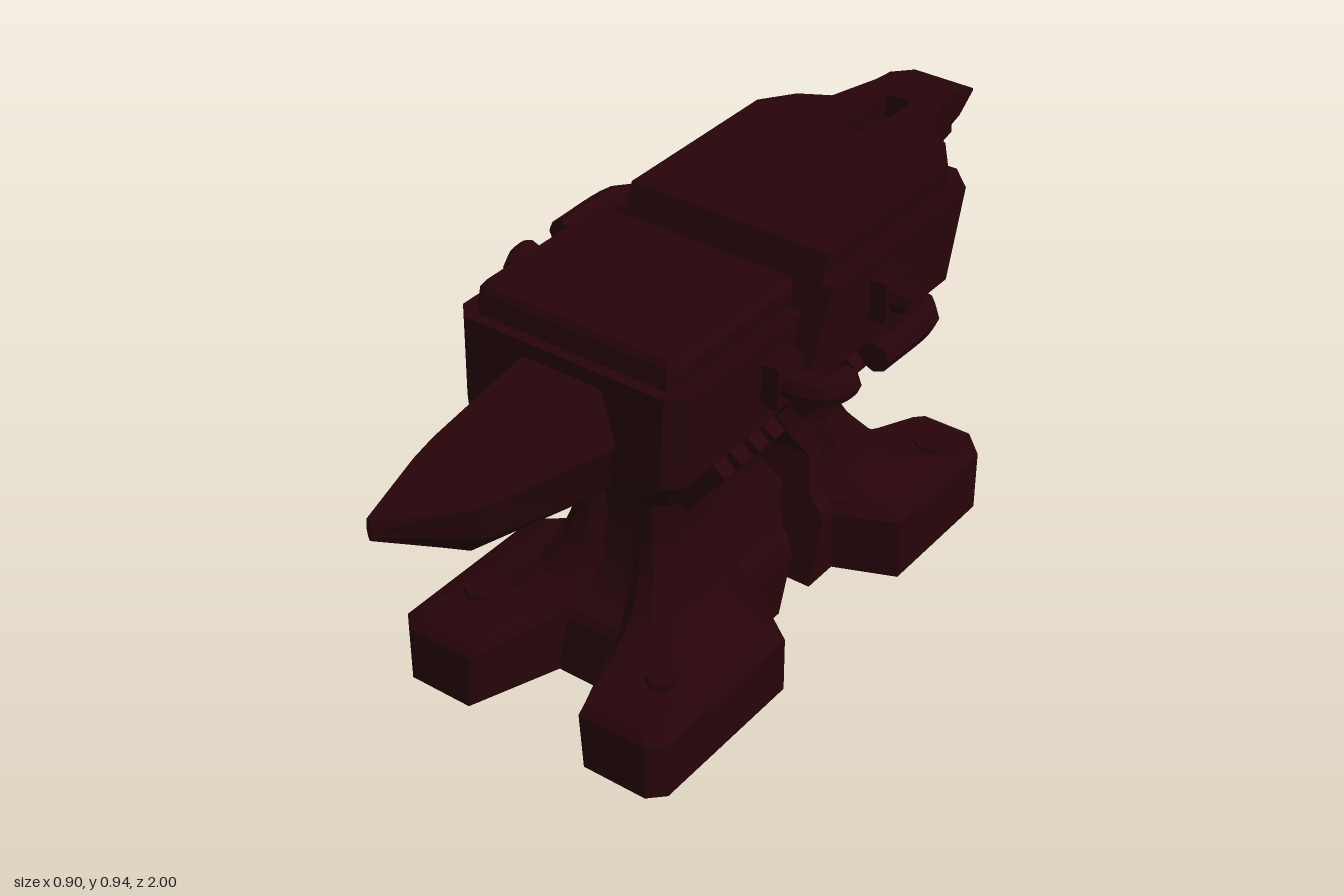
import * as THREE from 'three';

const iron = new THREE.MeshStandardMaterial({ color: 0x260409, flatShading: true });
const ironThin = new THREE.MeshStandardMaterial({ color: 0x260409, flatShading: true, side: THREE.DoubleSide });
const V = (x, y, z) => new THREE.Vector3(x, y, z);

function add(parent, name, geometry, material = iron) {
  const mesh = new THREE.Mesh(geometry, material);
  mesh.name = name;
  parent.add(mesh);
  return mesh;
}

// Faceted skin over rings of equal length, closed with caps
function loft(rings) {
  const axis = rings.at(-1)[0].clone().sub(rings[0][0]);
  const alongZ = Math.abs(axis.z) > Math.abs(axis.y);
  axis.set(0, alongZ ? 0 : Math.sign(axis.y), alongZ ? Math.sign(axis.z) : 0);
  const area = V(0, 0, 0);
  rings[0].forEach((p, i, r) => area.add(p.clone().cross(r[(i + 1) % r.length])));
  if (area.dot(axis) < 0) rings = rings.map((r) => [...r].reverse());
  const pos = [];
  const tri = (...pts) => pts.forEach((p) => pos.push(p.x, p.y, p.z));
  const n = rings[0].length;
  for (let i = 0; i + 1 < rings.length; i++) {
    for (let j = 0; j < n; j++) {
      const k = (j + 1) % n;
      tri(rings[i][j], rings[i][k], rings[i + 1][k]);
      tri(rings[i][j], rings[i + 1][k], rings[i + 1][j]);
    }
  }
  for (const [ring, sign] of [[rings[0], -1], [rings.at(-1), 1]]) {
    const flat = ring.map((p) => new THREE.Vector2(p.x, alongZ ? p.y : p.z));
    for (const [a, b, c] of THREE.ShapeUtils.triangulateShape(flat, [])) {
      const normal = ring[b].clone().sub(ring[a]).cross(ring[c].clone().sub(ring[a]));
      if (normal.dot(axis) * sign > 0) tri(ring[a], ring[b], ring[c]);
      else tri(ring[a], ring[c], ring[b]);
    }
  }
  const g = new THREE.BufferGeometry();
  g.setAttribute('position', new THREE.Float32BufferAttribute(pos, 3));
  g.computeVertexNormals();
  return g;
}

// Mirror a half outline across x = 0 into a closed ring
const mirrorRing = (half) => [...half, ...half.map((p) => V(-p.x, p.y, p.z)).reverse()];

// Break line of each half: [height, distance along the half's own direction]
const frontCrack = [[0.01, -0.07], [0.29, -0.165], [0.67, 0.075], [0.945, -0.01]];
const backCrack = [[0.01, 0.19], [0.29, 0.28], [0.67, 0.03], [0.945, 0.13]];
function crackAt(crack, y) {
  let i = 0;
  while (i < crack.length - 2 && y > crack[i + 1][0]) i++;
  const [y0, d0] = crack[i], [y1, d1] = crack[i + 1];
  return d0 + ((d1 - d0) * (y - y0)) / (y1 - y0);
}

// Rows: y, waist x, waist d, outer x, side d, end d, foot inner x, notch x, notch d
const frontLevels = [
  [0.00, 0.20, 0.03, 0.357, 0.14, 0.595, 0.17, 0.08, 0.38],
  [0.14, 0.20, 0.03, 0.357, 0.14, 0.595, 0.16, 0.07, 0.36],
  [0.16, 0.19, 0.03, 0.335, 0.15, 0.57, 0.16, 0.065, 0.35],
  [0.175, 0.18, 0.04, 0.28, 0.15, 0.46, 0.14, 0.06, 0.33],
  [0.19, 0.16, 0.04, 0.22, 0.14, 0.40, 0.12, 0.05, 0.31],
  [0.225, 0.145, 0.04, 0.19, 0.13, 0.345, 0.11, 0.045, 0.285],
  [0.27, 0.135, 0.04, 0.165, 0.13, 0.31, 0.095, 0.04, 0.265],
  [0.29, 0.13, 0.04, 0.157, 0.13, 0.297, 0.09, 0.04, 0.26],
  [0.36, 0.11, 0.04, 0.135, 0.12, 0.275, 0.08, 0.04, 0.25],
  [0.46, 0.11, 0.06, 0.13, 0.10, 0.27, 0.08, 0.04, 0.25],
  [0.50, 0.15, 0.06, 0.155, 0.10, 0.31, 0.10, 0.05, 0.30],
  [0.57, 0.19, 0.06, 0.19, 0.10, 0.38, 0.14, 0.07, 0.38],
  [0.67, 0.28, 0.10, 0.282, 0.15, 0.44, 0.22, 0.10, 0.44],
  [0.885, 0.285, 0.10, 0.288, 0.15, 0.43, 0.22, 0.10, 0.43],
];
const backLevels = [
  [0.00, 0.20, 0.28, 0.345, 0.34, 0.74, 0.17, 0.08, 0.55],
  [0.155, 0.20, 0.28, 0.345, 0.34, 0.74, 0.17, 0.075, 0.54],
  [0.17, 0.19, 0.29, 0.32, 0.35, 0.70, 0.16, 0.07, 0.52],
  [0.18, 0.18, 0.29, 0.28, 0.35, 0.62, 0.14, 0.065, 0.50],
  [0.195, 0.16, 0.30, 0.22, 0.35, 0.56, 0.12, 0.06, 0.475],
  [0.23, 0.145, 0.31, 0.19, 0.35, 0.525, 0.11, 0.05, 0.45],
  [0.27, 0.135, 0.32, 0.165, 0.35, 0.495, 0.10, 0.045, 0.435],
  [0.29, 0.13, 0.32, 0.157, 0.35, 0.48, 0.095, 0.045, 0.43],
  [0.36, 0.11, 0.30, 0.135, 0.34, 0.445, 0.08, 0.04, 0.42],
  [0.46, 0.11, 0.25, 0.13, 0.30, 0.44, 0.08, 0.04, 0.42],
  [0.50, 0.15, 0.20, 0.155, 0.25, 0.49, 0.10, 0.05, 0.48],
  [0.57, 0.19, 0.15, 0.19, 0.20, 0.53, 0.14, 0.07, 0.53],
  [0.67, 0.28, 0.15, 0.282, 0.20, 0.64, 0.20, 0.10, 0.65],
  [0.885, 0.285, 0.15, 0.288, 0.20, 0.69, 0.20, 0.10, 0.70],
];

function halfBody(levels, crack, s, chamfer) {
  return loft(levels.map(([y, xw, dw, xo, ds, de, xf, xn, dn]) => mirrorRing([
    V(xw, y, s * crackAt(crack, y)), V(xw, y, s * dw), V(xo, y, s * ds),
    V(xo, y, s * (de - chamfer)), V(xo - chamfer, y, s * de),
    V(Math.min(xf, xo - chamfer) - 0.01, y, s * de), V(xn, y, s * dn),
  ])));
}

// Broken carrying handle: flange, bent bar and flat broken end
function handle(z, tipZ, side) {
  const g = new THREE.Group();
  g.name = 'brokenHandle';
  const dir = Math.sign(tipZ - z);
  add(g, 'handleFlange', new THREE.BoxGeometry(0.05, 0.1, 0.09)).position.set(side * 0.3, 0.78, z);
  const pts = [V(0.28, 0.78, z), V(0.36, 0.78, z), V(0.4, 0.78, z + dir * 0.012),
    V(0.413, 0.78, z + dir * 0.045), V(0.414, 0.78, tipZ)].map((p) => V(side * p.x, p.y, p.z));
  add(g, 'handleBar', new THREE.TubeGeometry(new THREE.CatmullRomCurve3(pts), 12, 0.035, 8), ironThin);
  add(g, 'handleBrokenEnd', new THREE.CircleGeometry(0.035, 8), ironThin).position.set(side * 0.414, 0.78, tipZ);
  return g;
}

export function createModel() {
  const model = new THREE.Group();
  model.name = 'brokenAnvil';
  const front = new THREE.Group(), back = new THREE.Group();
  front.name = 'frontHalf';
  back.name = 'backHalf';
  model.add(front, back);

  add(front, 'frontBody', halfBody(frontLevels, frontCrack, 1, 0.035));
  add(back, 'backBody', halfBody(backLevels, backCrack, -1, 0.06));

  // Front working face
  add(front, 'frontFace', loft([[0.88, 0.258, 0.405], [0.93, 0.256, 0.395], [0.945, 0.245, 0.385]].map(
    ([y, x, z]) => mirrorRing([V(x, y, crackAt(frontCrack, y)), V(x, y, z - 0.02), V(x - 0.02, y, z)]))));

  // Horn: z, half width, top, side height, keel
  add(front, 'horn', loft([
    [0.26, 0.14, 0.85, 0.73, 0.42], [0.31, 0.14, 0.85, 0.73, 0.505], [0.45, 0.138, 0.85, 0.73, 0.53],
    [0.74, 0.095, 0.84, 0.76, 0.60], [0.81, 0.078, 0.836, 0.77, 0.65], [0.998, 0.006, 0.83, 0.805, 0.78],
  ].map(([z, w, top, mid, low]) => mirrorRing([
    V(w * 0.72, top, z), V(w, mid, z), V(w * 0.68, low + (mid - low) * 0.35, z), V(w * 0.12, low, z),
  ]))));

  // Tail (heel): z, top half width, top, bottom
  add(back, 'tail', loft([
    [-0.45, 0.17, 0.885, 0.51], [-0.58, 0.17, 0.885, 0.575], [-0.72, 0.13, 0.885, 0.69],
    [-0.85, 0.093, 0.885, 0.80], [-0.9, 0.087, 0.885, 0.807], [-0.9, 0.087, 0.945, 0.807],
    [-0.94, 0.083, 0.932, 0.815], [-1, 0.08, 0.912, 0.90],
  ].map(([z, w, top, low]) => mirrorRing([
    V(w, top, z), V(w, low + (top - low) * 0.45, z), V(w * 0.6, low, z),
  ]))));

  // Back working face with a slot, sheared to the break
  const half = [[0.256, 0.13], [0.256, 0.6], [0.2, 0.68], [0.13, 0.72], [0.093, 0.85], [0.087, 0.9]];
  const outline = [...half, ...half.map(([x, d]) => [-x, d]).reverse()];
  const plate = new THREE.Shape(outline.map(([x, d]) => new THREE.Vector2(x, d)));
  plate.holes.push(new THREE.Path([[-0.035, 0.61], [-0.035, 0.8], [0.035, 0.8], [0.035, 0.61]].map(
    ([x, d]) => new THREE.Vector2(x, d))));
  const face = new THREE.ExtrudeGeometry(plate, { depth: 0.06, bevelEnabled: false });
  face.rotateX(-Math.PI / 2).translate(0, 0.885, 0);
  const p = face.attributes.position;
  for (let i = 0; i < p.count; i++) {
    if (p.getZ(i) > -0.2) p.setZ(i, -crackAt(backCrack, p.getY(i)));
  }
  face.computeVertexNormals();
  add(back, 'backFace', face);

  // Handles and foot bolts on both sides
  for (const side of [-1, 1]) {
    front.add(handle(0.1, 0.025, side));
    back.add(handle(-0.3, -0.075, side));
    for (const [group, z] of [[front, 0.44], [back, -0.61]]) {
      add(group, 'footBolt', new THREE.CylinderGeometry(0.035, 0.038, 0.05, 6)).position.set(side * 0.25, 0.166, z);
    }
  }

  // Plain raised ribs along the left flank, rooted in the body
  for (const z of [0.26, 0.2, 0.14, 0.085, -0.16, -0.225, -0.29, -0.355, -0.42]) {
    const rib = add(z > 0 ? front : back, 'flankRib', new THREE.BoxGeometry(0.1, 0.16, 0.04));
    rib.position.set(0.205, 0.592, z);
    rib.rotation.z = -0.66;
  }
  return model;
}
